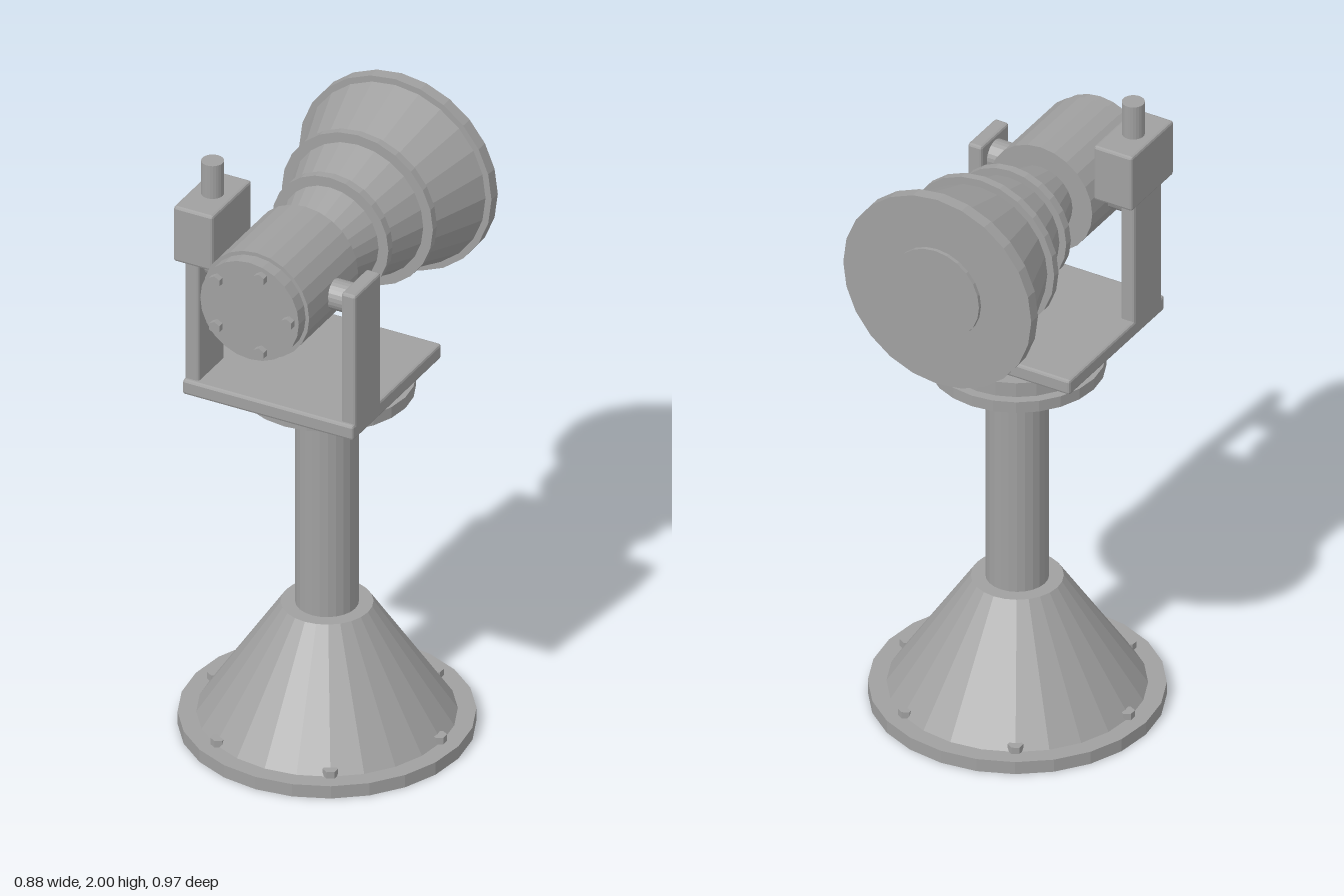
import * as THREE from 'three';
import { RoundedBoxGeometry } from 'three/addons/geometries/RoundedBoxGeometry.js';

const SIDES = 24;
const BASE_Z = -0.013; // centre line of the stand
const AXIS_Y = 1.66;   // axis of the horn and its pivots
const PIVOT_Z = 0.258;

export function createModel() {
  const root = new THREE.Group();
  root.name = 'hornOnStand';
  const metal = new THREE.MeshStandardMaterial({ color: 0xa0a0a0, flatShading: true });
  metal.name = 'grey metal';

  const add = (parent, name, geometry, x = 0, y = 0, z = 0) => {
    const mesh = new THREE.Mesh(geometry, metal);
    mesh.name = name;
    mesh.position.set(x, y, z);
    parent.add(mesh);
    return mesh;
  };
  const group = (name) => {
    const g = new THREE.Group();
    g.name = name;
    root.add(g);
    return g;
  };
  // Upright round part between two heights
  const upright = (parent, name, rBottom, rTop, y0, y1, x = 0, z = BASE_Z, sides = SIDES) =>
    add(parent, name, new THREE.CylinderGeometry(rTop, rBottom, y1 - y0, sides), x, (y0 + y1) / 2, z);
  // Round part lying along z, from z0 (back) to z1 (front)
  const along = (parent, name, rBack, rFront, z0, z1, x = 0, y = AXIS_Y, sides = SIDES) => {
    const geometry = new THREE.CylinderGeometry(rFront, rBack, z1 - z0, sides).rotateX(Math.PI / 2);
    return add(parent, name, geometry, x, y, (z0 + z1) / 2);
  };
  // Box with softly bevelled edges, given by its limits
  const box = (parent, name, [x0, x1], [y0, y1], [z0, z1]) =>
    add(parent, name, new RoundedBoxGeometry(x1 - x0, y1 - y0, z1 - z0, 1, 0.008),
      (x0 + x1) / 2, (y0 + y1) / 2, (z0 + z1) / 2);

  // Stand: foot plate, flared foot, column
  const stand = group('stand');
  upright(stand, 'footPlate', 0.44, 0.44, 0, 0.042);
  upright(stand, 'flaredFoot', 0.385, 0.137, 0.042, 0.415);
  upright(stand, 'column', 0.094, 0.094, 0.415, 1.15);
  for (let i = 0; i < 6; i++) {
    const a = (i * Math.PI) / 3;
    upright(stand, 'footBolt', 0.023, 0.023, 0.042, 0.064,
      0.376 * Math.cos(a), BASE_Z + 0.376 * Math.sin(a), 6);
  }

  // Turntable
  const turntable = group('turntable');
  upright(turntable, 'lowerDisc', 0.262, 0.262, 1.15, 1.187);
  upright(turntable, 'upperDisc', 0.233, 0.233, 1.187, 1.235);

  // Yoke: platform, two arms, pivots
  const yoke = group('yoke');
  box(yoke, 'platform', [-0.286, 0.286], [1.235, 1.285], [-0.193, 0.354]);
  box(yoke, 'leftArm', [0.238, 0.286], [1.26, 1.724], [0.18, 0.34]);
  box(yoke, 'rightArm', [-0.286, -0.238], [1.26, 1.724], [0.18, 0.34]);
  for (const side of [1, -1]) {
    add(yoke, 'pivot', new THREE.CylinderGeometry(0.047, 0.047, 0.1, SIDES).rotateZ(Math.PI / 2),
      side * 0.2, AXIS_Y, PIVOT_Z);
  }

  // Drive box with a post on top of the right arm
  box(yoke, 'driveBox', [-0.302, -0.17], [1.7, 1.888], [0.138, 0.38]);
  upright(yoke, 'drivePost', 0.034, 0.034, 1.88, 2, -0.236, PIVOT_Z);

  // Barrel with bolted front cover
  const barrel = group('barrel');
  along(barrel, 'barrelBody', 0.177, 0.177, 0.121, 0.423);
  along(barrel, 'frontCover', 0.165, 0.165, 0.423, 0.465);
  for (let i = 0; i < 5; i++) {
    const a = (i * 2 * Math.PI) / 5;
    along(barrel, 'coverBolt', 0.02, 0.02, 0.465, 0.485,
      0.133 * Math.cos(a), AXIS_Y + 0.133 * Math.sin(a), 6);
  }

  // Horn widening to the back, with two rings and a lid
  const horn = group('horn');
  along(horn, 'hornCone', 0.302, 0.109, -0.434, 0.121);
  along(horn, 'smallRing', 0.195, 0.195, -0.059, -0.032);
  along(horn, 'largeRing', 0.253, 0.253, -0.225, -0.2);
  along(horn, 'hornRim', 0.322, 0.322, -0.473, -0.434);
  along(horn, 'hornLid', 0.15, 0.15, -0.485, -0.473);

  return root;
}
